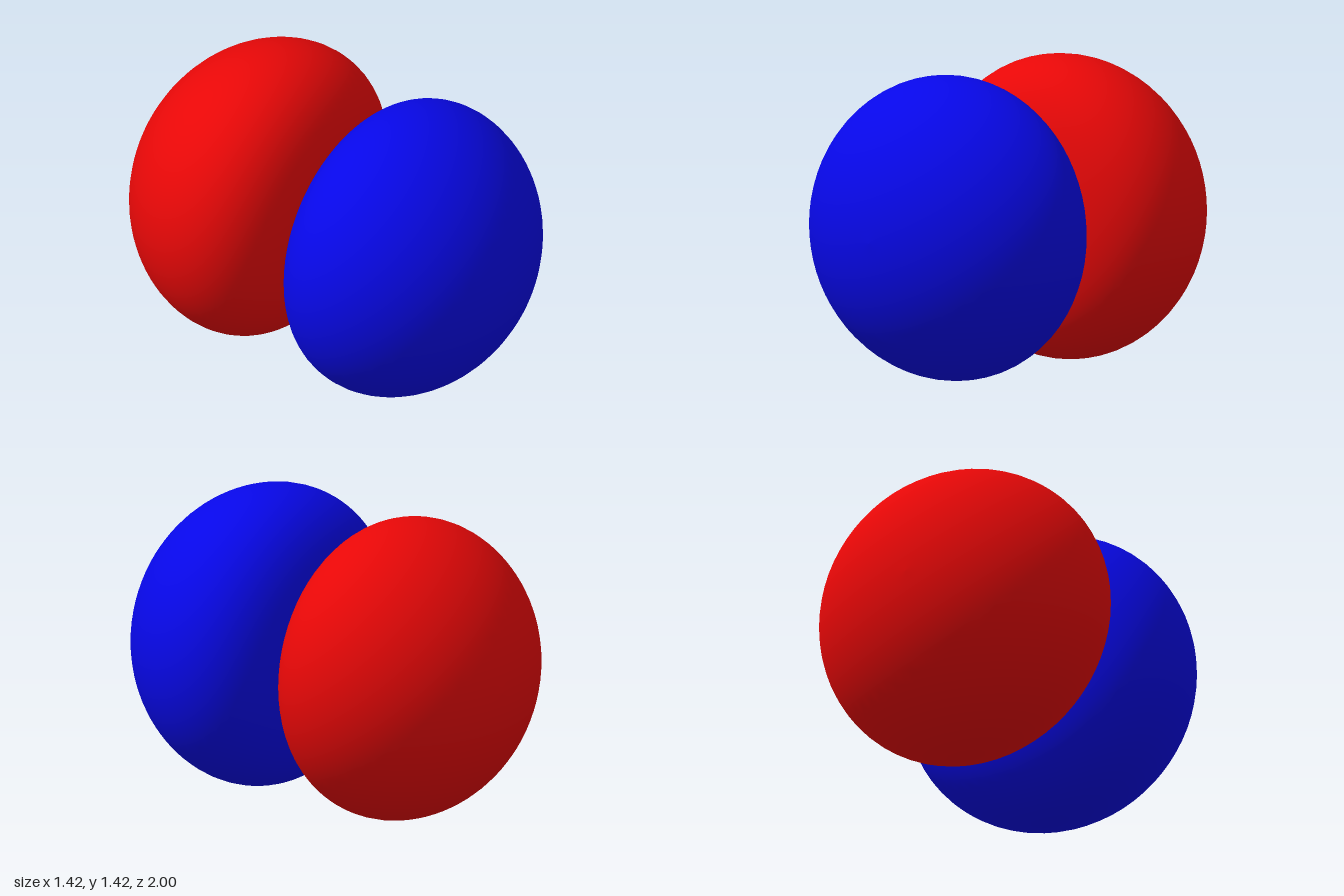
import * as THREE from 'three';

const INNER = 0.0075; // distance of the inner pole from the centre; the outer pole is at 1
const RADIUS = 0.71;

// Half outline of a lobe: cos(angle) = c * exp(a * d) / d, swept from inner to outer pole
function lobeProfile(steps) {
  const a = -Math.log(INNER) / (1 - INNER);
  const c = Math.exp(-a);
  const points = [];
  for (let i = 0; i <= steps; i++) {
    const d = 1 - (1 - INNER) * (1 - i / steps) ** 2;
    const cos = Math.min(1, (c * Math.exp(a * d)) / d);
    const r = i === 0 || i === steps ? 0 : d * Math.sqrt(1 - cos * cos);
    points.push(new THREE.Vector2(r, d * cos));
  }
  // Match the greatest radius exactly
  const scale = RADIUS / Math.max(...points.map((p) => p.x));
  points.forEach((p) => { p.x *= scale; });
  return points;
}

export function createModel() {
  const group = new THREE.Group();
  group.name = 'twoLobes';

  const blue = new THREE.MeshStandardMaterial({ color: 0x0808f0 });
  blue.name = 'blue';
  const red = new THREE.MeshStandardMaterial({ color: 0xf00808 });
  red.name = 'red';

  // One lobe turned about z, used for both halves
  const geometry = new THREE.LatheGeometry(lobeProfile(40), 64);
  geometry.rotateX(Math.PI / 2);

  const lobes = [['frontLobe', blue, 0], ['backLobe', red, Math.PI]];
  for (const [name, material, turn] of lobes) {
    const lobe = new THREE.Mesh(geometry, material);
    lobe.name = name;
    lobe.position.y = RADIUS;
    lobe.rotation.y = turn;
    group.add(lobe);
  }
  return group;
}
